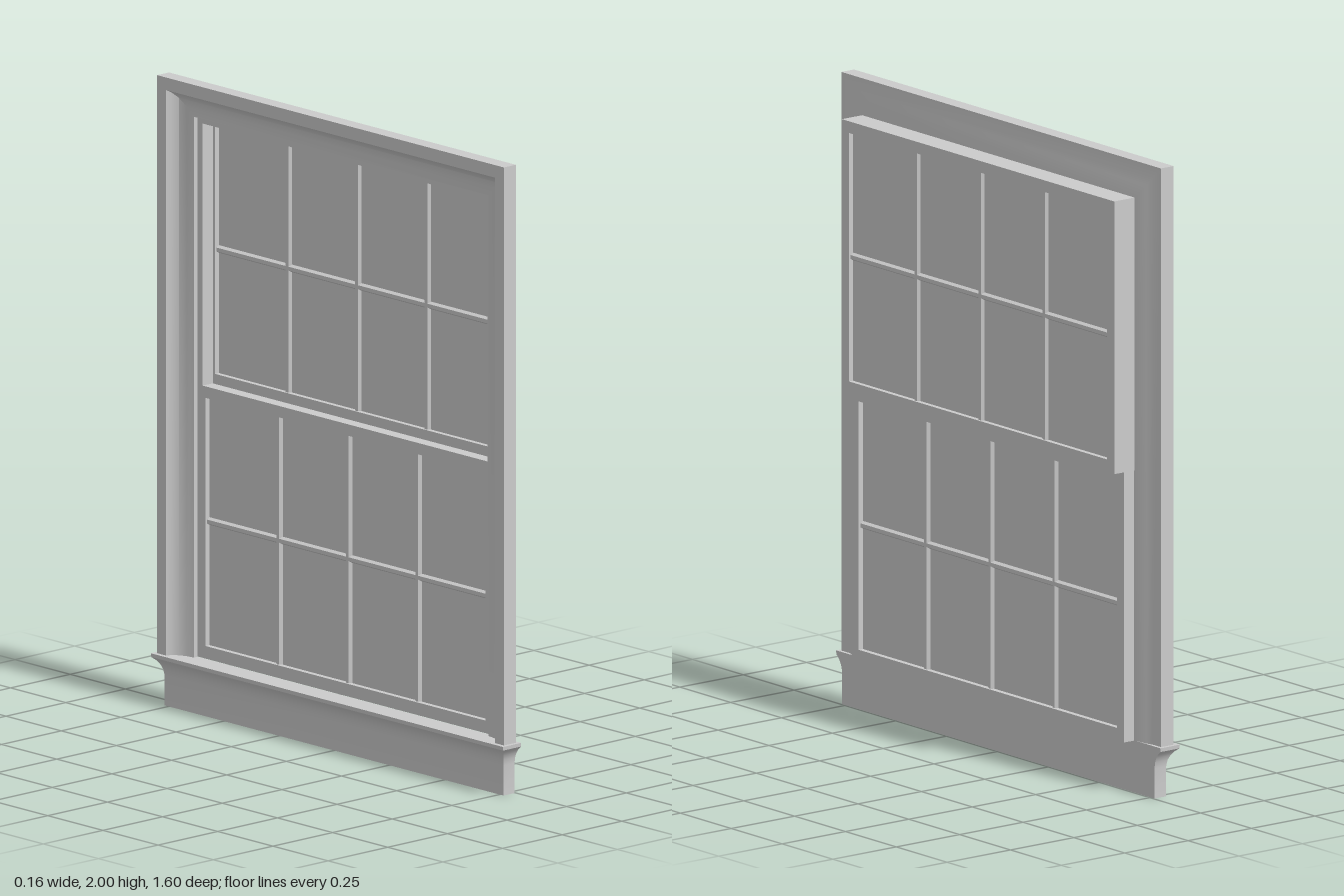
import * as THREE from 'three';
import { toCreasedNormals } from 'three/addons/utils/BufferGeometryUtils.js';

const material = new THREE.MeshStandardMaterial({ color: 0xcccccc, side: THREE.DoubleSide });

function addMesh(parent, name, geometry, x = 0, y = 0, z = 0) {
  const mesh = new THREE.Mesh(geometry, material);
  mesh.name = name;
  mesh.position.set(x, y, z);
  parent.add(mesh);
  return mesh;
}

// Skin closed rings of [x, y, z] points, with fan caps on request
function loft(rings, caps = false) {
  const out = [];
  const n = rings[0].length;
  for (let i = 0; i < rings.length - 1; i++) {
    for (let j = 0; j < n; j++) {
      const k = (j + 1) % n;
      const a = rings[i][j], b = rings[i][k], c = rings[i + 1][k], d = rings[i + 1][j];
      out.push(...a, ...b, ...c, ...a, ...c, ...d);
    }
  }
  if (caps) {
    const first = rings[0], last = rings[rings.length - 1];
    for (let j = 1; j < n - 1; j++) {
      out.push(...first[0], ...first[j + 1], ...first[j], ...last[0], ...last[j], ...last[j + 1]);
    }
  }
  const geometry = new THREE.BufferGeometry();
  geometry.setAttribute('position', new THREE.Float32BufferAttribute(out, 3));
  return toCreasedNormals(geometry, 0.6);
}

// Rectangular frame in the z-y plane, from x0 to x1
function frameGeometry(halfWidth, y0, y1, holeHalf, holeY0, holeY1, x0, x1) {
  const rect = (Type, w, a, b) => {
    const path = new Type();
    path.moveTo(-w, a);
    path.lineTo(w, a);
    path.lineTo(w, b);
    path.lineTo(-w, b);
    path.closePath();
    return path;
  };
  const shape = rect(THREE.Shape, halfWidth, y0, y1);
  shape.holes.push(rect(THREE.Path, holeHalf, holeY0, holeY1));
  const geometry = new THREE.ExtrudeGeometry(shape, { depth: x1 - x0, bevelEnabled: false });
  return geometry.rotateY(Math.PI / 2).translate(x0, 0, 0);
}

// Glazing bar with bevelled faces, running up y and centred on the origin
function barGeometry(length) {
  const profile = [[0.014, 0], [0.006, 0.013], [-0.006, 0.013], [-0.014, 0], [-0.006, -0.013], [0.006, -0.013]];
  const ring = (y) => profile.map(([z, x]) => [x, y, z]);
  return loft([ring(-length / 2), ring(length / 2)], true);
}

function createSash(name, x0, x1, y0, y1, holeY0, holeY1) {
  const sash = new THREE.Group();
  sash.name = name;
  const half = 0.635;
  const xMid = (x0 + x1) / 2;
  const yMid = (holeY0 + holeY1) / 2;
  const height = holeY1 - holeY0;
  addMesh(sash, 'sashFrame', frameGeometry(0.67, y0, y1, half, holeY0, holeY1, x0, x1));
  addMesh(sash, 'glass', new THREE.BoxGeometry(0.006, height, half * 2), xMid, yMid, 0);
  for (const z of [-0.315, 0, 0.315]) {
    addMesh(sash, 'verticalBar', barGeometry(height), xMid, yMid, z);
  }
  const bar = addMesh(sash, 'horizontalBar', barGeometry(half * 2), xMid, yMid, 0);
  bar.rotation.x = Math.PI / 2;
  return sash;
}

export function createModel() {
  const model = new THREE.Group();
  model.name = 'sashWindow';

  // Moulded casing: profile of [inset from outer edge, x] swept up, across and down
  const profile = [
    [0, -0.015], [0.04, -0.015], [0.065, -0.009], [0.118, -0.004],
    [0.118, -0.02], [0.09, -0.024], [0.065, -0.034], [0.048, -0.05], [0.04, -0.065], [0, -0.065],
  ];
  const base = 0.163;
  const outer = 0.786;
  const station = (side, top) => profile.map(([d, x]) => [x, top ? 2 - d : base, side * (outer - d)]);
  addMesh(model, 'casing', loft([station(1, false), station(1, true), station(-1, true), station(-1, false)]));

  // Sill with a cove that returns round both ends: [height, outset]
  const steps = [[0, 0], [0.095, 0], [0.115, 0.003], [0.13, 0.009], [0.143, 0.018], [0.153, 0.029], [0.165, 0.03]];
  const sillRings = steps.map(([y, o]) => {
    const z = 0.768 + o;
    const front = -0.05 - o;
    return [[-0.004, y, z], [-0.004, y, -z], [front, y, -z], [front, y, z]];
  });
  addMesh(model, 'sill', loft(sillRings, true));

  // Sliding sashes, the upper one set behind the lower
  model.add(createSash('lowerSash', -0.002, 0.038, 0.165, 1.03, 0.205, 0.993));
  model.add(createSash('upperSash', 0.038, 0.076, 1.022, 1.887, 1.062, 1.85));

  // Liner that fills the depth ahead of the upper sash
  addMesh(model, 'upperLiner', frameGeometry(0.67, 1.022, 1.887, 0.645, 1.03, 1.862, -0.004, 0.038));

  return model;
}
